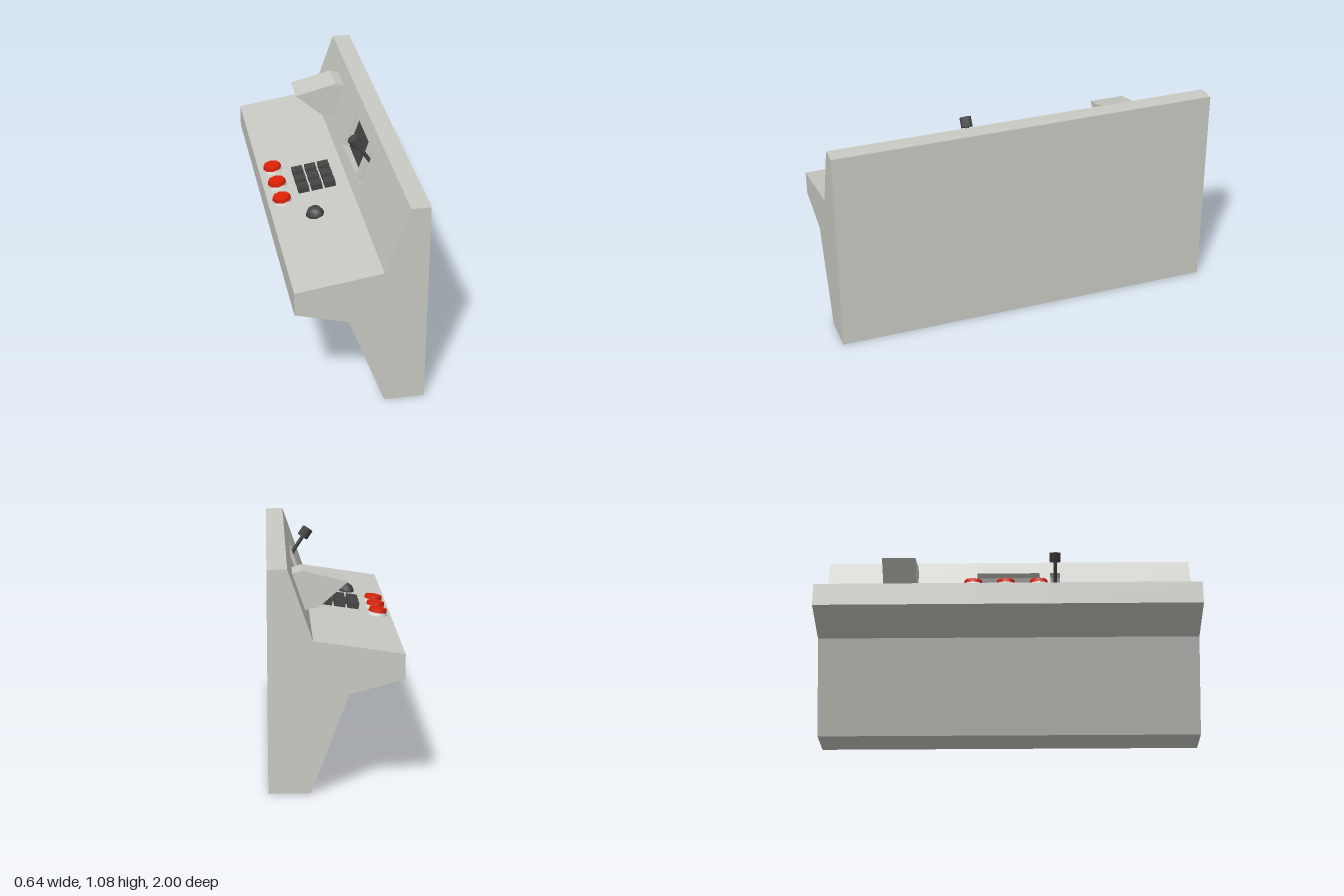
import * as THREE from 'three';

const mat = (name, color) => {
  const m = new THREE.MeshStandardMaterial({ color });
  m.name = name;
  return m;
};

export function createModel() {
  const group = new THREE.Group();
  const panelGrey = mat('panel grey', 0xcacac4);
  const darkGrey = mat('dark grey', 0x444444);
  const red = mat('button red', 0xdd2205);
  const white = mat('collar white', 0xeeeeea);

  const add = (name, geo, material, parent, x = 0, y = 0, z = 0) => {
    const mesh = new THREE.Mesh(geo, material);
    mesh.name = name;
    mesh.position.set(x, y, z);
    parent.add(mesh);
    return mesh;
  };
  // Extrudes an x-y outline from z0 to z1
  const slab = (name, points, z0, z1) => {
    const shape = new THREE.Shape(points.map(p => new THREE.Vector2(...p)));
    const geo = new THREE.ExtrudeGeometry(shape, { depth: z1 - z0, bevelEnabled: false });
    return add(name, geo, panelGrey, group, 0, 0, z0);
  };

  // Console body: full sections, with notched sections at the two recesses
  const lower = [[-0.32, 0.67], [-0.32, 0.55], [-0.06, 0.48], [0.12, 0], [0.32, 0], [0.32, 1.07], [0.225, 1.07]];
  const notch = [[0.197, 0.99], [0.235, 0.977], [0.17, 0.791], [0.132, 0.804]];
  const full = [...lower, [0.108, 0.735]];
  const notched = [...lower, ...notch, [0.108, 0.735]];
  const screen = [-0.175, 0.17], slot = [0.228, 0.282];
  slab('bodyRear', full, -1, screen[0]);
  slab('bodyScreenSection', notched, ...screen);
  slab('bodyMiddle', full, screen[1], slot[0]);
  slab('bodySlotSection', notched, ...slot);
  slab('bodyFront', full, slot[1], 1);

  // Dark plates at the back of the recesses
  const panelTilt = -Math.atan2(0.117, 0.335);
  for (const [name, [z0, z1]] of [['screen', screen], ['leverSlot', slot]]) {
    const plate = add(name, new THREE.BoxGeometry(0.004, 0.196, z1 - z0), darkGrey, group, 0.2005, 0.8845, (z0 + z1) / 2);
    plate.rotation.z = panelTilt;
  }

  // Hood standing out from the upright panel
  slab('hood', [[-0.07, 0.95], [0.073, 0.825], [0.105, 0.823], [0.14, 0.81], [0.2, 0.99], [0.15, 1.005]], -0.68, -0.5);

  // Holder standing square on the sloping desk
  const deskSlope = 0.065 / 0.428;
  const onDesk = (name, x, z) => {
    const g = new THREE.Group();
    g.name = name;
    g.position.set(x, 0.67 + (x + 0.32) * deskSlope, z);
    g.rotation.z = Math.atan(deskSlope);
    group.add(g);
    return g;
  };

  // Keypad
  for (const x of [-0.127, -0.058, 0.011])
    for (const z of [-0.085, 0.003, 0.09])
      add('keyCap', new THREE.BoxGeometry(0.058, 0.036, 0.058), darkGrey, onDesk('key', x, z), 0, 0.014, 0);

  // Round push buttons
  for (const z of [-0.18, -0.01, 0.16]) {
    const button = onDesk('pushButton', -0.248, z);
    add('buttonCollar', new THREE.CylinderGeometry(0.047, 0.052, 0.022, 8).toNonIndexed(), white, button, 0, 0.007, 0);
    add('buttonCap', new THREE.CylinderGeometry(0.045, 0.048, 0.02, 8), red, button, 0, 0.026, 0);
  }

  // Trackball
  add('trackball', new THREE.SphereGeometry(0.047, 8, 8), darkGrey, onDesk('trackballMount', -0.11, 0.35));

  // Lever
  const lever = new THREE.Group();
  lever.name = 'lever';
  lever.position.set(0.111, 1.043, 0.255);
  lever.rotation.z = 0.58;
  group.add(lever);
  add('leverKnob', new THREE.CylinderGeometry(0.03, 0.03, 0.052, 8), darkGrey, lever);
  add('leverShaft', new THREE.CylinderGeometry(0.01, 0.01, 0.17, 8), darkGrey, lever, 0, -0.085, 0);

  return group;
}
